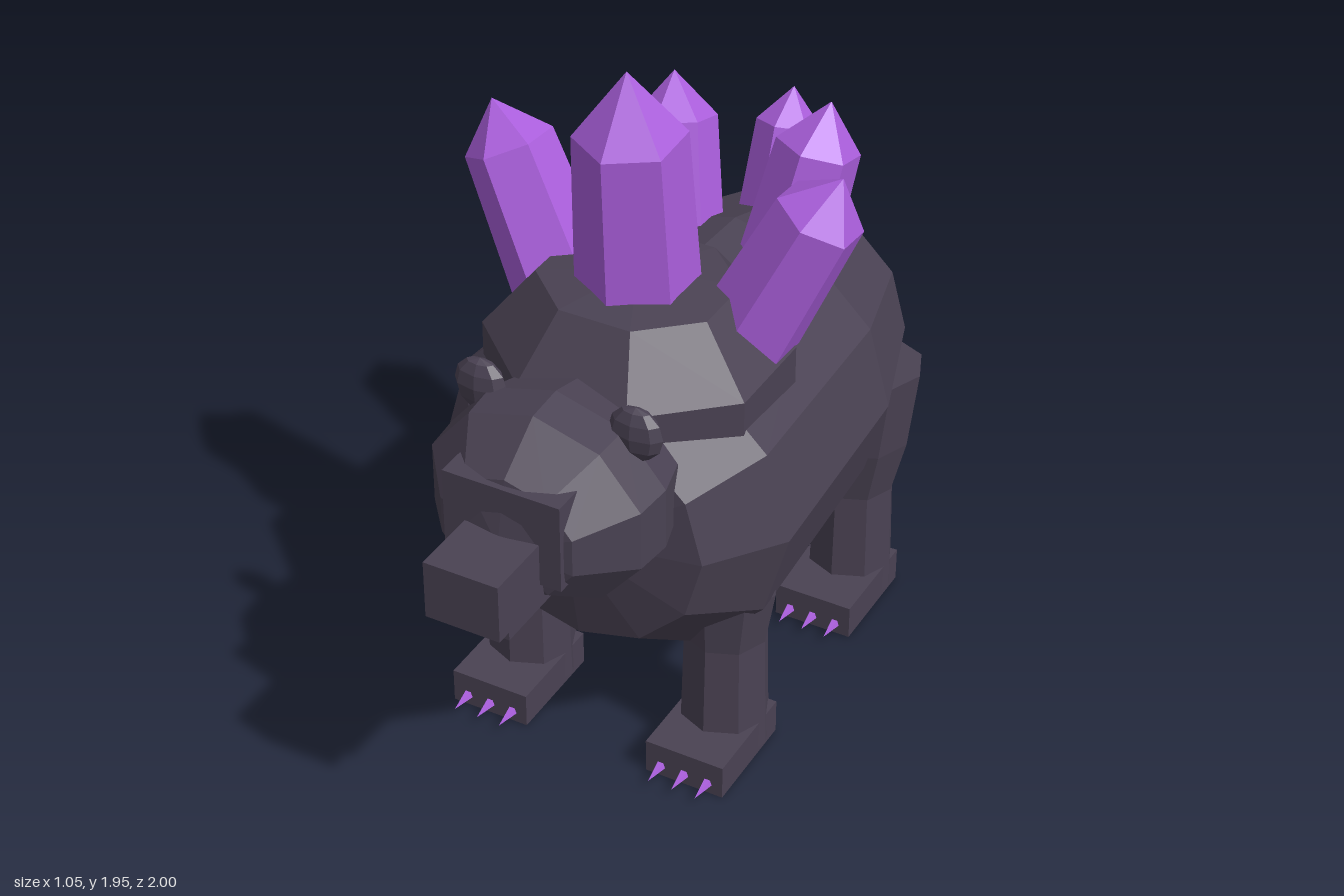
import * as THREE from 'three';

const hide = new THREE.MeshStandardMaterial({ color: 0x4a4253, flatShading: true });
hide.name = 'dark hide';
const crystalPurple = new THREE.MeshStandardMaterial({ color: 0xaa5edc, flatShading: true });
crystalPurple.name = 'crystal purple';

const UP = new THREE.Vector3(0, 1, 0);

function lathe(points, sides, start = 0) {
  return new THREE.LatheGeometry(points.map(([r, y]) => new THREE.Vector2(r, y)), sides, start);
}

export function createModel() {
  const model = new THREE.Group();
  model.name = 'crystalBear';

  function add(name, geometry, x, y, z, material = hide, parent = model) {
    const mesh = new THREE.Mesh(geometry, material);
    mesh.name = name;
    mesh.position.set(x, y, z);
    parent.add(mesh);
    return mesh;
  }
  // Box given by its limits
  function box(name, x0, x1, y0, y1, z0, z1, parent = model) {
    return add(name, new THREE.BoxGeometry(x1 - x0, y1 - y0, z1 - z0),
      (x0 + x1) / 2, (y0 + y1) / 2, (z0 + z1) / 2, hide, parent);
  }

  // Barrel body, turned along z
  const body = lathe([[0, -0.855], [0.1, -0.85], [0.335, -0.77], [0.455, -0.4],
    [0.49, 0.26], [0.35, 0.455], [0.16, 0.49], [0, 0.49]], 12).rotateX(Math.PI / 2);
  add('body', body.scale(1.035, 1, 1), 0, 0.77, 0);

  // Shoulder hump
  const hump = lathe([[0.3, 0.9], [0.37, 1.04], [0.37, 1.16], [0.24, 1.33], [0, 1.36]], 8, Math.PI / 8);
  add('shoulderHump', hump.scale(1.11, 1, 1), 0, 0, 0.13);

  // Head, face plate, snout and jaw
  const head = lathe([[0, 0.4], [0.25, 0.42], [0.28, 0.54], [0.272, 0.65],
    [0.17, 0.79], [0, 0.83]], 10).rotateX(Math.PI / 2);
  add('head', head.scale(1.15, 1, 1), 0, 0.955, 0);
  box('facePlate', -0.165, 0.165, 0.86, 1.11, 0.68, 0.81);
  box('snout', -0.105, 0.105, 0.815, 0.98, 0.7, 1);
  box('lowerJaw', -0.088, 0.088, 0.765, 0.815, 0.66, 0.93);

  for (const side of [-1, 1]) {
    const ear = new THREE.SphereGeometry(0.076, 8, 6).scale(1, 1, 0.47);
    add(side > 0 ? 'leftEar' : 'rightEar', ear, side * 0.22, 1.18, 0.535);
  }

  // Tail stub
  add('tail', new THREE.SphereGeometry(0.095, 7, 5).rotateX(-Math.PI / 2), 0, 0.84, -0.905);

  // Legs with paws and claws
  function leg(name, side, z, topY, topX, topR, pawZ) {
    const group = new THREE.Group();
    group.name = name;
    model.add(group);
    const knee = 0.4, x = side * 0.3;
    add('shin', new THREE.CylinderGeometry(0.115, 0.125, knee - 0.02, 8), x, (knee + 0.02) / 2, z, hide, group);
    add('knee', new THREE.SphereGeometry(0.118, 8, 6), x, 0.39, z, hide, group);
    // Thigh widens upward and leans outward
    const h = topY - 0.36;
    const thigh = lathe([[0, 0], [0.115, 0], [0.138, 0.17], [topR, h], [0, h]], 8);
    const p = thigh.attributes.position;
    for (let i = 0; i < p.count; i++) {
      p.setX(i, p.getX(i) + side * (topX - 0.3) * p.getY(i) / h);
    }
    add('thigh', thigh, x, 0.36, z, hide, group);
    box('paw', x - 0.115, x + 0.115, 0, 0.1, pawZ - 0.31, pawZ, group);
    for (const dx of [-0.07, 0, 0.07]) {
      const claw = new THREE.ConeGeometry(0.016, 0.08, 5).rotateX(Math.PI / 2);
      add('claw', claw, x + dx, 0.033, pawZ + 0.03, crystalPurple, group);
    }
  }
  for (const side of [-1, 1]) {
    const word = side > 0 ? 'Left' : 'Right';
    leg('front' + word + 'Leg', side, 0.2, 0.65, 0.31, 0.125, 0.43);
    leg('back' + word + 'Leg', side, -0.57, 0.77, 0.345, 0.14, -0.33);
  }

  // Back crystals: base, tip, base radius
  const crystals = [
    [[0, 1.2, 0.12], [0, 1.945, 0.18], 0.165],
    [[0.265, 1.21, 0.02], [0.48, 1.67, -0.04], 0.137],
    [[-0.265, 1.21, 0.06], [-0.48, 1.67, 0.03], 0.137],
    [[0.16, 1.1, -0.345], [0.24, 1.61, -0.465], 0.13],
    [[-0.16, 1.07, -0.37], [-0.24, 1.56, -0.5], 0.13],
    [[0, 1.06, -0.61], [0, 1.46, -0.735], 0.1],
  ];
  for (const [from, to, r] of crystals) {
    const dir = new THREE.Vector3(...to).sub(new THREE.Vector3(...from));
    const len = dir.length();
    const shape = lathe([[0, 0], [r, 0], [r * 0.88, len * 0.76], [0, len]], 6);
    add('backCrystal', shape, ...from, crystalPurple).quaternion.setFromUnitVectors(UP, dir.normalize());
  }

  return model;
}
